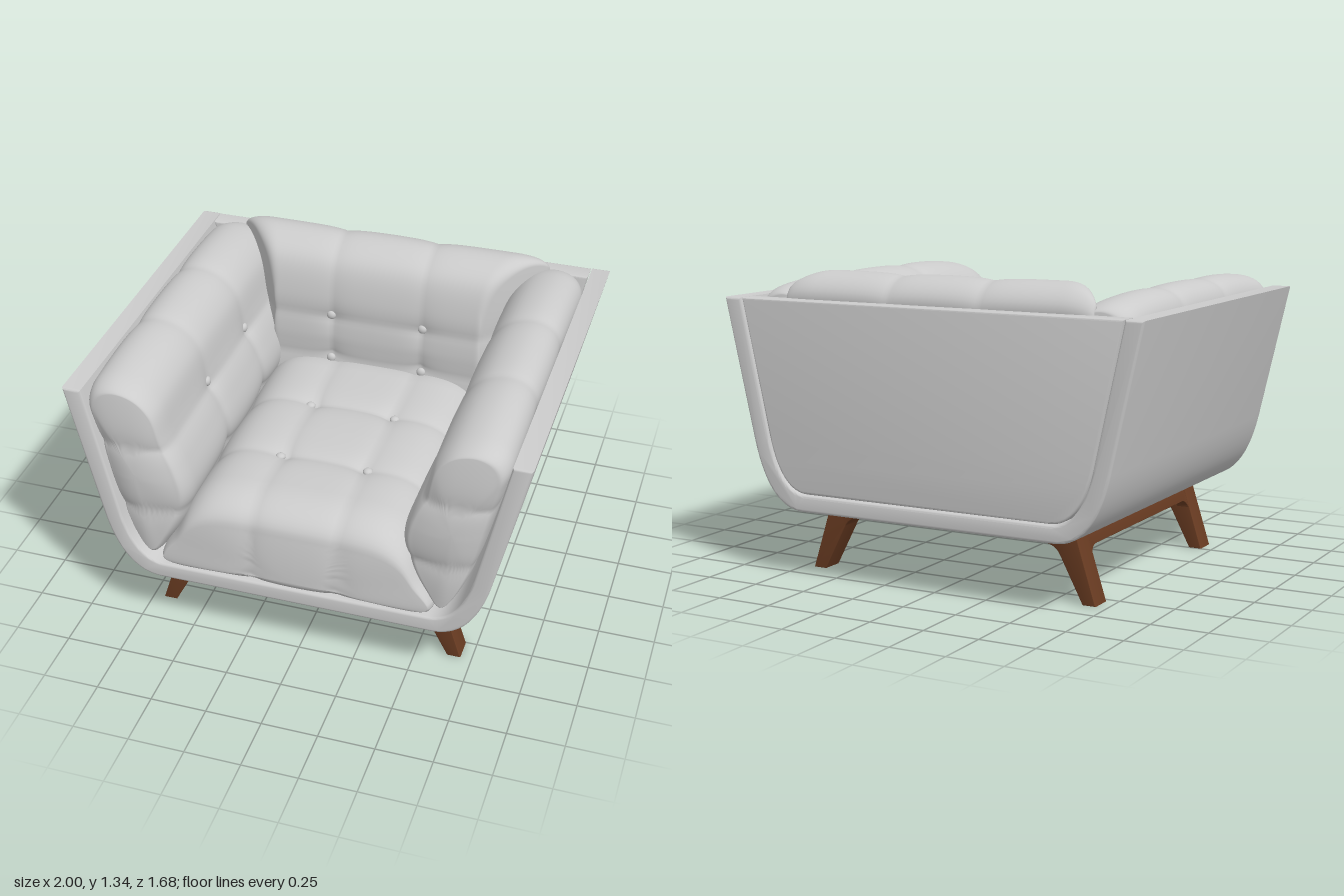
import * as THREE from 'three';
import { toCreasedNormals } from 'three/addons/utils/BufferGeometryUtils.js';

const fabric = new THREE.MeshStandardMaterial({ color: 0xcccccc });
const wood = new THREE.MeshStandardMaterial({ color: 0x6a3c22 });

function add(parent, name, geometry, material = fabric) {
  const mesh = new THREE.Mesh(geometry, material);
  mesh.name = name;
  parent.add(mesh);
  return mesh;
}

// Bevelled extrusion that spans exactly z0..z1
function slab(shape, z0, z1, bevel) {
  const g = new THREE.ExtrudeGeometry(shape, {
    depth: z1 - z0 - 2 * bevel, curveSegments: 20, bevelSize: bevel, bevelThickness: bevel,
    bevelOffset: -bevel, bevelSegments: 3,
  });
  g.translate(0, 0, z0 + bevel);
  return toCreasedNormals(g, 0.6);
}

// Strength of the nearest stitched crease
const crease = (v, seams) => Math.max(...seams.map(p => Math.exp(-Math.abs(v - p) / 0.06)));

/* Tufted cushion: a closed counterclockwise section swept along z, with rounded
   ends (radius, inset) and creases at seamsL (along z) and seamsS (section coordinate). */
function cushion({ section, centre, l0, l1, radius, inset, bulge, seamsL, seamsS, coord, depth, warp }) {
  const N = 110, BODY = 70, ARC = 10, CAP = 12;
  const curve = new THREE.CatmullRomCurve3(section.map(([a, b]) => new THREE.Vector3(a, b, 0)), true);
  const ring = curve.getSpacedPoints(N).slice(0, N);

  // Stations: position, rounding amount and cap shrink
  const end = [];
  for (let k = 1; k <= ARC; k++) {
    const th = k / ARC * Math.PI / 2;
    end.push([radius * (1 - Math.sin(th)), 1 - Math.cos(th), 1]);
  }
  for (let k = 1; k <= CAP; k++) {
    const q = 1 - k / CAP;
    end.push([-bulge * (1 - q * q), 1, q]);
  }
  const stations = end.map(([o, e, q]) => [l0 + o, e, q]).reverse();
  for (let k = 0; k <= BODY; k++) stations.push([l0 + radius + (l1 - l0 - 2 * radius) * k / BODY, 0, 1]);
  stations.push(...end.map(([o, e, q]) => [l1 - o, e, q]));

  const pos = [], index = [];
  const mid = (l0 + l1) / 2, half = (l1 - l0) / 2;
  stations.forEach(([l, e, q], i) => {
    const t = (l - mid) / half;
    ring.forEach((p, j) => {
      let da = (p.x - centre[0]) * (1 - inset[0] * e) * q;
      let db = (p.y - centre[1]) * (1 - inset[1] * e) * q;
      const gl = crease(l, seamsL), gs = crease(coord ? centre[1] + db : centre[0] + da, seamsS);
      const d = depth * (gl + gs + 1.2 * gl * gs) * q;
      const r = Math.hypot(da, db) || 1;
      da -= da / r * Math.min(d, r);
      db -= db / r * Math.min(d, r);
      const v = new THREE.Vector3(centre[0] + da, centre[1] + db, l - 0.015 * gs * Math.sign(t) * t ** 6);
      if (warp) warp(v, t);
      pos.push(v.x, v.y, v.z);
      if (i + 1 < stations.length) {
        const a = i * N + j, b = i * N + (j + 1) % N;
        index.push(a, b, b + N, a, b + N, a + N);
      }
    });
  });
  const g = new THREE.BufferGeometry();
  g.setAttribute('position', new THREE.Float32BufferAttribute(pos, 3));
  g.setIndex(index);
  g.computeVertexNormals();
  return g;
}

// Button seated on the cushion vertex nearest to the target
function button(parent, geometry, target, axis) {
  const P = geometry.attributes.position, v = new THREE.Vector3(), best = new THREE.Vector3(1e3, 0, 0);
  for (let i = 0; i < P.count; i++) {
    v.fromBufferAttribute(P, i);
    if (v.distanceTo(target) < best.distanceTo(target)) best.copy(v);
  }
  const b = add(parent, 'button', new THREE.SphereGeometry(0.022, 16, 12));
  b.position.copy(target);
  b.position[axis] = best[axis];
  b.scale[axis] = 0.7;
}

// Bucket outline from the +x top corner round to the -x top corner
function bucketPath(shape, top, topX, kneeX, kneeY, ctrlX, floorX, floorY) {
  shape.moveTo(topX, top).lineTo(-topX, top).lineTo(-kneeX, kneeY);
  shape.quadraticCurveTo(-ctrlX, floorY, -floorX, floorY).lineTo(floorX, floorY);
  shape.quadraticCurveTo(ctrlX, floorY, kneeX, kneeY).lineTo(topX, top);
  return shape;
}

export function createModel() {
  const chair = new THREE.Group();
  chair.name = 'armchair';

  // Wrap-around shell: one U-shaped band
  const band = new THREE.Shape();
  band.moveTo(-1, 1.22).lineTo(-0.86, 0.6).quadraticCurveTo(-0.79, 0.3, -0.61, 0.3);
  band.lineTo(0.61, 0.3).quadraticCurveTo(0.79, 0.3, 0.86, 0.6).lineTo(1, 1.22);
  band.lineTo(0.917, 1.22).lineTo(0.785, 0.62).quadraticCurveTo(0.73, 0.375, 0.59, 0.375);
  band.lineTo(-0.59, 0.375).quadraticCurveTo(-0.73, 0.375, -0.785, 0.62).lineTo(-0.917, 1.22);
  add(chair, 'shell', slab(band, -0.84, 0.81, 0.012));
  const panel = bucketPath(new THREE.Shape(), 1.22, 0.913, 0.781, 0.62, 0.726, 0.588, 0.379);
  add(chair, 'backPanel', slab(panel, -0.835, -0.74, 0.01));

  // Seat cushion
  const seat = cushion({
    section: [[-0.62, 0.4], [-0.3, 0.375], [0.3, 0.375], [0.62, 0.4], [0.55, 0.56], [0.48, 0.69],
      [0.38, 0.755], [0, 0.775], [-0.38, 0.755], [-0.48, 0.69], [-0.55, 0.56]],
    centre: [0, 0.43], l0: -0.55, l1: 0.81, radius: 0.2, inset: [0.05, 0.35], bulge: 0.02,
    seamsL: [-0.05, 0.37], seamsS: [-0.2, 0.2], coord: 0, depth: 0.018,
  });
  add(chair, 'seatCushion', seat);
  for (const x of [-0.2, 0.2]) for (const z of [-0.05, 0.37])
    button(chair, seat, new THREE.Vector3(x, 0.72, z), 'y');

  // Arm cushions, mirrored
  const armSection = [[0.64, 0.42], [0.76, 0.6], [0.83, 0.85], [0.89, 1.1], [0.905, 1.2], [0.87, 1.265],
    [0.79, 1.295], [0.68, 1.27], [0.6, 1.19], [0.555, 1.04], [0.5, 0.9], [0.465, 0.76], [0.48, 0.66], [0.57, 0.5]];
  for (const side of [1, -1]) {
    const section = armSection.map(([x, y]) => [side * x, y]);
    if (side < 0) section.reverse();
    const arm = cushion({
      section, centre: [side * 0.69, 0.86], l0: -0.74, l1: 0.81, radius: 0.11, inset: [0.2, 0.06], bulge: 0.03,
      seamsL: [-0.2, 0.27], seamsS: [0.66, 1.0], coord: 1, depth: 0.014,
      warp: (v, t) => { v.y -= 0.04 * t ** 4 * Math.max(0, (v.y - 0.86) / 0.43); },
    });
    add(chair, side > 0 ? 'leftArmCushion' : 'rightArmCushion', arm);
    for (const z of [-0.2, 0.27]) button(chair, arm, new THREE.Vector3(side * 0.56, 1.0, z), 'x');
  }

  // Back cushion: swept sideways, narrowing towards the front and the floor
  const back = cushion({
    section: [[-0.72, 0.42], [-0.5, 0.4], [-0.41, 0.55], [-0.4, 0.85], [-0.41, 1.1], [-0.46, 1.26],
      [-0.54, 1.32], [-0.63, 1.338], [-0.72, 1.305], [-0.765, 1.24], [-0.735, 1.1], [-0.73, 0.7]],
    centre: [-0.6, 0.9], l0: -0.74, l1: 0.74, radius: 0.14, inset: [0.12, 0.1], bulge: 0.015,
    seamsL: [-0.22, 0.22], seamsS: [0.77, 1.0], coord: 1, depth: 0.014,
    warp: (v, t) => {
      const front = THREE.MathUtils.clamp((v.x + 0.72) / 0.3, 0, 1);
      const low = THREE.MathUtils.clamp((1 - v.y) / 0.6, 0, 1);
      v.z *= 1 - 0.32 * Math.max(front, 0.8 * low) * Math.min(1, t * t);
    },
  }).rotateY(-Math.PI / 2);
  add(chair, 'backCushion', back);
  for (const x of [-0.22, 0.22]) for (const y of [0.77, 1.0])
    button(chair, back, new THREE.Vector3(x, y, -0.41), 'z');

  // Wooden base: splayed leg frames front and rear
  const base = new THREE.Group();
  base.name = 'base';
  chair.add(base);
  const frame = new THREE.Shape();
  frame.moveTo(-0.605, 0.3).lineTo(-0.7, 0).lineTo(-0.64, 0).lineTo(-0.535, 0.2);
  frame.quadraticCurveTo(-0.51, 0.25, -0.43, 0.25).lineTo(0.43, 0.25).quadraticCurveTo(0.51, 0.25, 0.535, 0.2);
  frame.lineTo(0.64, 0).lineTo(0.7, 0).lineTo(0.605, 0.3);
  add(base, 'frontLegs', slab(frame, 0.5, 0.605, 0.004), wood);
  add(base, 'rearLegs', slab(frame, -0.63, -0.525, 0.004), wood);
  add(base, 'basePlate', new THREE.BoxGeometry(1.16, 0.05, 1.2).translate(0, 0.275, -0.0125), wood);

  // Side rails with rounded corners, leaning with the legs
  const rail = new THREE.Shape();
  rail.moveTo(-0.53, 0.3).lineTo(-0.53, 0.17).quadraticCurveTo(-0.525, 0.228, -0.46, 0.228);
  rail.lineTo(0.44, 0.228).quadraticCurveTo(0.5, 0.228, 0.505, 0.17).lineTo(0.505, 0.3);
  for (const side of [1, -1]) {
    const g = slab(rail, -0.03, 0.03, 0.004).rotateY(-Math.PI / 2);
    const P = g.attributes.position;
    for (let i = 0; i < P.count; i++) P.setX(i, P.getX(i) + side * (0.572 + (0.3 - P.getY(i)) * 0.32));
    add(base, side > 0 ? 'leftRail' : 'rightRail', toCreasedNormals(g, 0.6), wood);
  }
  return chair;
}
